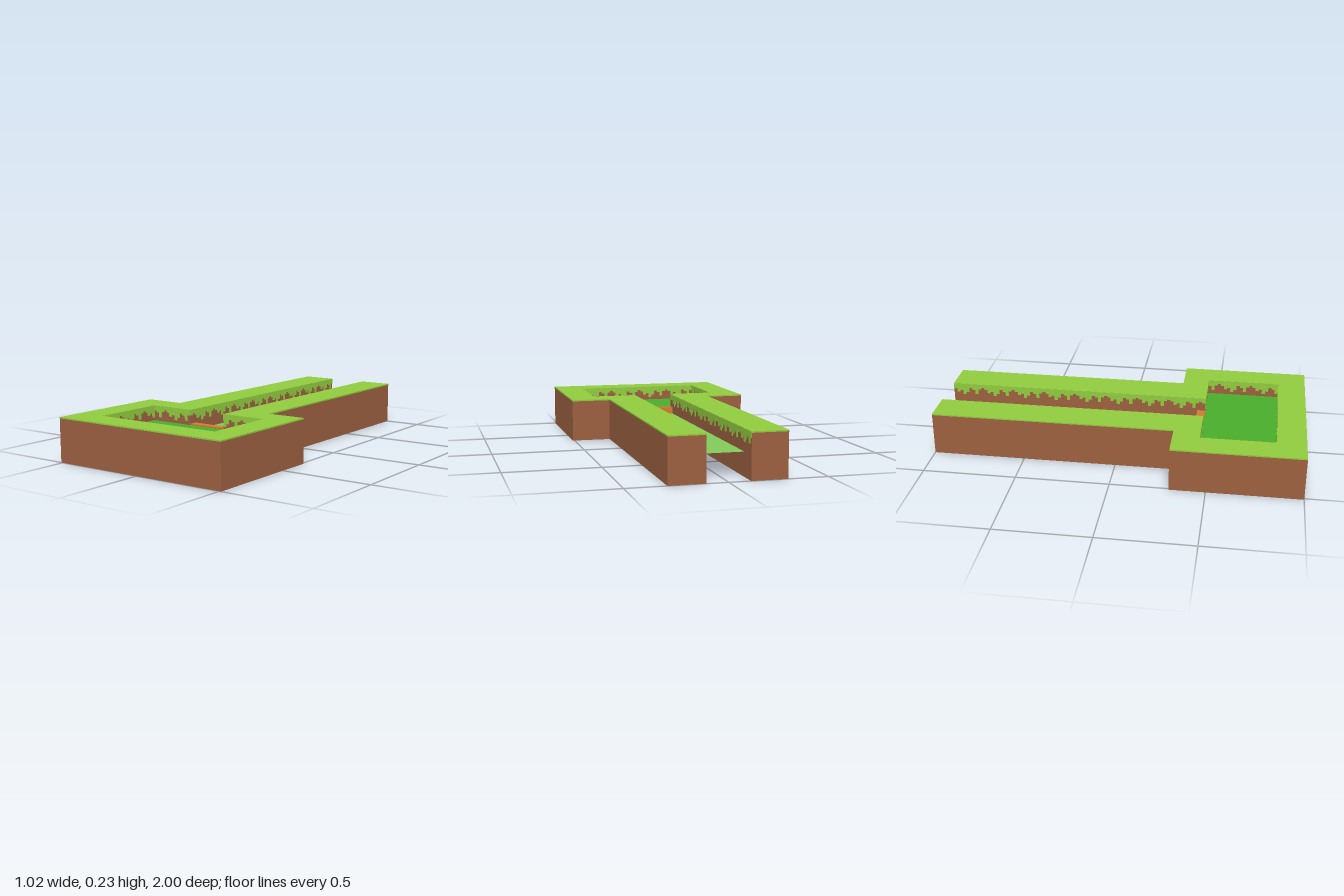
import * as THREE from 'three';

const mat = (name, color) => {
  const m = new THREE.MeshStandardMaterial({ color });
  m.name = name;
  return m;
};

export function createModel() {
  const group = new THREE.Group();
  const earth = mat('earth brown', 0x9c6040);
  const grass = mat('grass green', 0x91cc40);
  const poolGreen = mat('pool green', 0x4aae2d);
  const channelGreen = mat('channel green', 0x82cb5a);
  const orange = mat('sill orange', 0xcf7c30);
  poolGreen.side = channelGreen.side = THREE.DoubleSide;

  const add = (name, geometry, material) => {
    const mesh = new THREE.Mesh(geometry, material);
    mesh.name = name;
    group.add(mesh);
    return mesh;
  };

  // Plan as [x, z]: outer edge, and the inner edge of the channel and basin
  const H = 0.235, turf = 0.007;
  const outer = [[-0.295, -1], [-0.295, 0.31], [-0.51, 0.31], [-0.51, 1],
    [0.51, 1], [0.51, 0.31], [0.295, 0.31], [0.295, -1]];
  const inner = [[0.11, -1], [0.11, 0.45], [0.36, 0.45], [0.36, 0.85],
    [-0.36, 0.85], [-0.36, 0.45], [-0.11, 0.45], [-0.11, -1]];
  const plan = new THREE.Shape([...outer, ...inner].map(([x, z]) => new THREE.Vector2(x, -z)));
  const slab = (y, h) => new THREE.ExtrudeGeometry(plan, { depth: h, bevelEnabled: false })
    .rotateX(-Math.PI / 2).translate(0, y, 0);

  // Bank of earth with a thin turf layer
  add('earthBank', slab(0, H - turf), earth);
  add('turfTop', slab(H - turf, turf), grass);

  // Ragged turf hanging down every inner wall
  const drops = [0.03, 0.05, 0.04, 0.065, 0.05, 0.025, 0.035, 0.06, 0.03, 0.02];
  inner.slice(1).forEach(([bx, bz], i) => {
    const [ax, az] = inner[i];
    const length = Math.hypot(bx - ax, bz - az);
    const n = Math.round(length / 0.018), step = length / n;
    const points = [new THREE.Vector2(length, 0), new THREE.Vector2(0, 0)];
    for (let k = 0; k < n; k++) {
      const y = -drops[(k + i * 3) % drops.length];
      points.push(new THREE.Vector2(k * step, y), new THREE.Vector2((k + 1) * step, y));
    }
    const geometry = new THREE.ExtrudeGeometry(new THREE.Shape(points), { depth: 0.003, bevelEnabled: false });
    const fringe = add('turfFringe' + (i + 1), geometry, grass);
    fringe.position.set(ax, H - 0.001, az);
    fringe.rotation.y = Math.atan2(az - bz, bx - ax);
  });

  // Sheets of the basin and channel
  const sheet = (name, w, z0, z1, y, material) => {
    const mesh = add(name, new THREE.PlaneGeometry(w, z1 - z0).rotateX(-Math.PI / 2), material);
    mesh.position.set(0, y, (z0 + z1) / 2);
  };
  sheet('basinFloor', 0.72, 0.45, 0.85, 0.153, poolGreen);
  sheet('channelFloor', 0.22, -0.9, 0.42, 0.122, channelGreen);

  // Sill between channel and basin
  add('sill', new THREE.BoxGeometry(0.22, 0.04, 0.045), orange).position.set(0, 0.14, 0.4275);

  return group;
}
